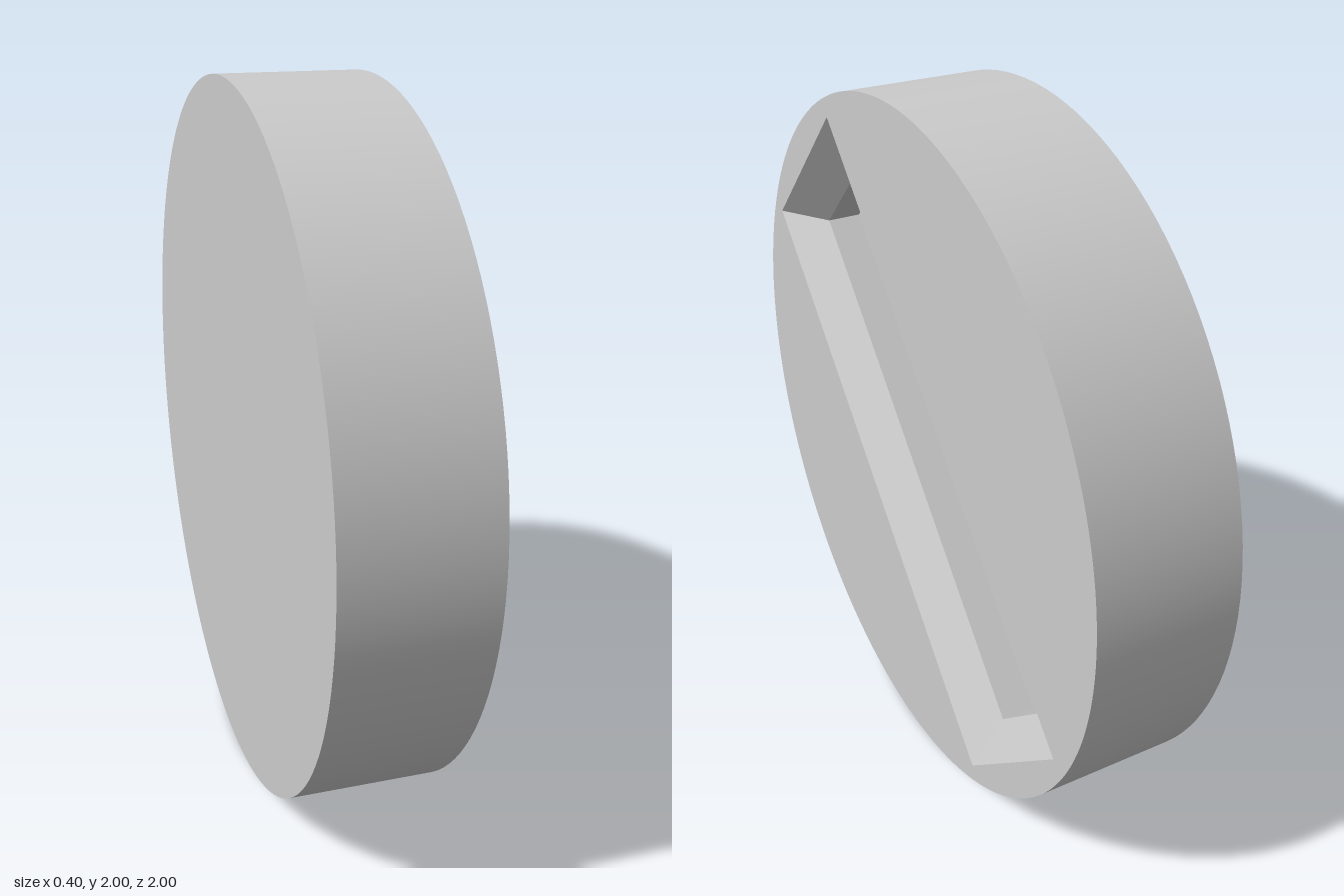
import * as THREE from 'three';

const RADIUS = 1, HALF = 0.2, SEGMENTS = 128;

// Corners of a rectangle, counter-clockwise, at height z
const rect = (w, h, z) =>
  [[-1, -1], [1, -1], [1, 1], [-1, 1]].map(([x, y]) => new THREE.Vector3(x * w / 2, y * h / 2, z));

// Inward-facing walls joining successive rectangles, from the rim down
function recessWalls(loops) {
  const points = [];
  for (let k = 0; k < loops.length - 1; k++) {
    const [top, low] = [loops[k], loops[k + 1]];
    for (let i = 0; i < 4; i++) {
      const j = (i + 1) % 4;
      points.push(top[i], top[j], low[j], top[i], low[j], low[i]);
    }
  }
  const geometry = new THREE.BufferGeometry().setFromPoints(points);
  geometry.computeVertexNormals();
  return geometry;
}

export function createModel() {
  const model = new THREE.Group();
  model.name = 'slottedDisc';
  const material = new THREE.MeshStandardMaterial({ color: 0xcccccc });
  const add = (name, geometry) => {
    const mesh = new THREE.Mesh(geometry, material);
    mesh.name = name;
    // Parts are made along z, then turned so the recess faces +x
    geometry.rotateY(Math.PI / 2).translate(0, RADIUS, 0);
    model.add(mesh);
  };

  // Recess outline: sloped sides to the middle loop, then straight down
  const tilt = -Math.PI / 4;
  const axis = new THREE.Vector3(0, 0, 1);
  const loops = [rect(1.8, 0.6, HALF), rect(1.6, 0.4, 0.1), rect(1.6, 0.4, 0)];
  loops.flat().forEach((p) => p.applyAxisAngle(axis, tilt));

  // Round side and plain back
  add('rim', new THREE.CylinderGeometry(RADIUS, RADIUS, 2 * HALF, SEGMENTS, 1, true).rotateX(Math.PI / 2));
  add('plainFace', new THREE.CircleGeometry(RADIUS, SEGMENTS).rotateY(Math.PI).translate(0, 0, -HALF));

  // Face with the slanted opening
  const face = new THREE.Shape().absarc(0, 0, RADIUS, 0, 2 * Math.PI, false);
  face.holes.push(new THREE.Path(loops[0].map((p) => new THREE.Vector2(p.x, p.y))));
  add('slottedFace', new THREE.ShapeGeometry(face, SEGMENTS).translate(0, 0, HALF));

  // Recess
  add('recessWalls', recessWalls(loops));
  add('recessFloor', new THREE.PlaneGeometry(1.6, 0.4).rotateZ(tilt));

  return model;
}
